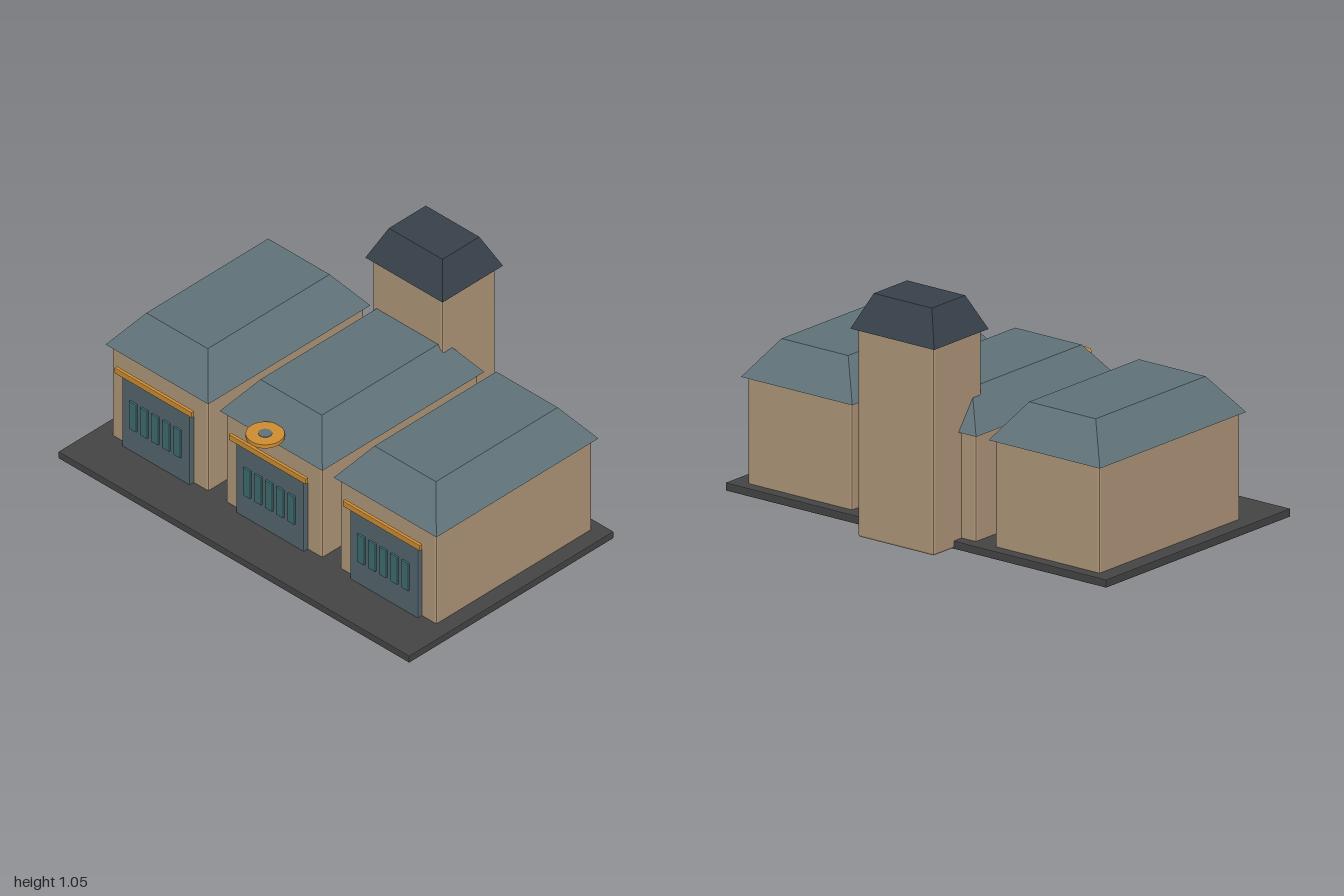
import * as THREE from 'three';
import { RoundedBoxGeometry } from 'three/addons/geometries/RoundedBoxGeometry.js';

const mat = (color) => new THREE.MeshStandardMaterial({ color, flatShading: true });

export function createModel() {
  const model = new THREE.Group();
  model.name = 'garageStation';
  const wall = mat(0xb2997b), roof = mat(0x60737a), darkRoof = mat(0x38424c), slab = mat(0x454545);
  const doorMat = mat(0x55676f), glass = mat(0x3f6e70), trim = mat(0xd08f33);

  const add = (parent, name, geometry, material, x, y, z) => {
    const mesh = new THREE.Mesh(geometry, material);
    mesh.name = name;
    mesh.position.set(x, y, z);
    parent.add(mesh);
    return mesh;
  };

  // Box with slightly chamfered edges, given by its extents in y and z
  const block = (parent, name, material, w, y0, y1, z0, z1, bevel, x = 0) =>
    add(parent, name, new RoundedBoxGeometry(w, y1 - y0, z1 - z0, 1, bevel), material,
      x, (y0 + y1) / 2, (z0 + z1) / 2);

  // Flat-topped hip roof: a box whose upper corners are drawn inward
  const hipRoof = (parent, name, material, w, y0, y1, z0, z1, topW, topD) => {
    const d = z1 - z0;
    const g = new THREE.BoxGeometry(w, y1 - y0, d);
    const p = g.attributes.position;
    for (let i = 0; i < p.count; i++) {
      if (p.getY(i) > 0) {
        p.setX(i, p.getX(i) * topW / w);
        p.setZ(i, p.getZ(i) * topD / d);
      }
    }
    g.computeVertexNormals();
    return add(parent, name, g, material, 0, (y0 + y1) / 2, (z0 + z1) / 2);
  };

  // Paved slab
  block(model, 'groundSlab', slab, 2, 0, 0.035, -0.52, 0.672, 0.004);

  // Three identical garage bays
  for (const [side, x] of [['right', -0.65], ['middle', 0], ['left', 0.65]]) {
    const bay = new THREE.Group();
    bay.name = side + 'Bay';
    bay.position.x = x;
    model.add(bay);
    block(bay, 'walls', wall, 0.55, 0.002, 0.497, -0.47, 0.437, 0.01);
    hipRoof(bay, 'roof', roof, 0.585, 0.493, 0.652, -0.49, 0.455, 0.35, 0.71);
    block(bay, 'door', doorMat, 0.385, 0.03, 0.39, 0.42, 0.461, 0.004);
    for (let i = -2; i <= 2; i++) {
      block(bay, 'doorWindow', glass, 0.04, 0.15, 0.29, 0.45, 0.47, 0.002, i * 0.063);
    }
    block(bay, 'lintelBar', trim, 0.44, 0.397, 0.425, 0.462, 0.478, 0.003);
  }

  // Round emblem above the middle door, lying flat with a small centre disc
  const emblem = new THREE.Group();
  emblem.name = 'emblem';
  emblem.position.set(0, 0.541, 0.489);
  model.add(emblem);
  add(emblem, 'emblemDisc', new THREE.CylinderGeometry(0.08, 0.08, 0.018, 24), trim, 0, 0, 0);
  add(emblem, 'emblemCentre', new THREE.CylinderGeometry(0.029, 0.029, 0.022, 16), roof, 0, 0, 0);

  // Tower at the back
  const tower = new THREE.Group();
  tower.name = 'tower';
  model.add(tower);
  block(tower, 'towerWalls', wall, 0.4, 0.002, 0.9, -0.65, -0.34, 0.01);
  hipRoof(tower, 'towerRoof', darkRoof, 0.44, 0.898, 1.046, -0.672, -0.32, 0.305, 0.215);

  return model;
}
